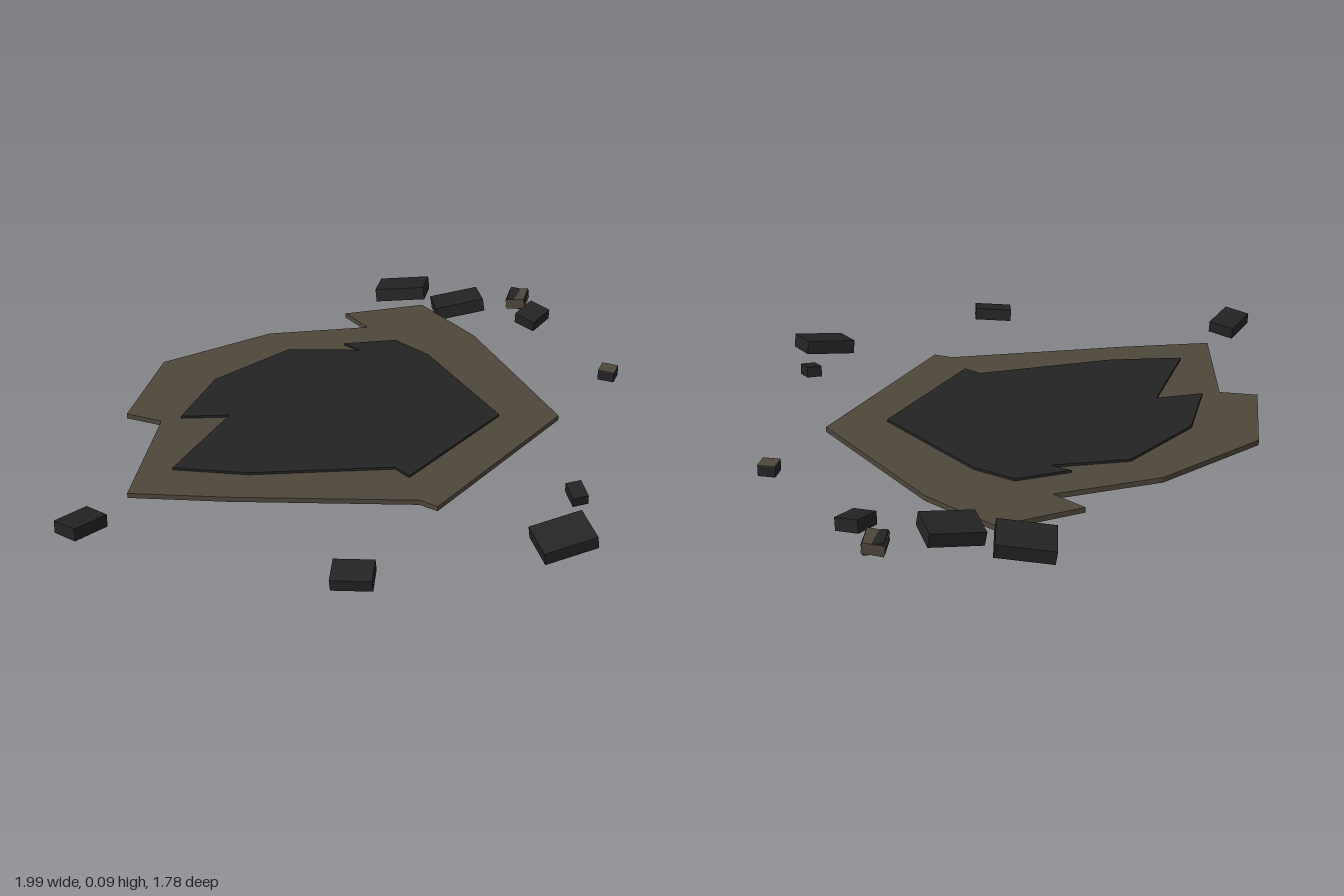
import * as THREE from 'three';

export function createModel() {
  const group = new THREE.Group();
  const brown = new THREE.MeshStandardMaterial({ name: 'brown earth', color: 0x4d463b });
  const dark = new THREE.MeshStandardMaterial({ name: 'charred black', color: 0x232323 });

  // Flat slab from an outline of [x, z] points
  function slab(name, outline, y0, y1, material) {
    const shape = new THREE.Shape(outline.map(([x, z]) => new THREE.Vector2(x, -z)));
    const geo = new THREE.ExtrudeGeometry(shape, { depth: y1 - y0, bevelEnabled: false });
    geo.rotateX(-Math.PI / 2);
    const mesh = new THREE.Mesh(geo, material);
    mesh.name = name;
    mesh.position.y = y0;
    group.add(mesh);
  }

  // Jagged outer ground and scorched centre
  slab('outerSlab', [
    [-0.44, -0.57], [-0.04, -0.64], [0.30, -0.57], [0.26, -0.69], [0.54, -0.66],
    [0.63, -0.39], [0.685, 0.19], [0.12, 0.545], [0.08, 0.495], [-0.47, 0.285],
    [-0.75, 0.165], [-0.545, -0.205], [-0.64, -0.285],
  ], 0.03, 0.047, brown);
  slab('scorchedCentre', [
    [-0.31, -0.39], [-0.015, -0.50], [0.215, -0.415], [0.18, -0.475], [0.355, -0.44],
    [0.425, -0.31], [0.50, 0.13], [0.095, 0.37], [0.07, 0.31], [-0.37, 0.19],
    [-0.585, 0.085], [-0.33, -0.155], [-0.48, -0.20],
  ], 0.04, 0.055, dark);

  // Tilted rubble: centre, size, yaw, then tilt about x and z
  function chunk(name, material, [x, y, z], [w, h, d], yaw, tiltX, tiltZ) {
    const mesh = new THREE.Mesh(new THREE.BoxGeometry(w, h, d), material);
    mesh.name = name;
    mesh.position.set(x, y, z);
    mesh.rotation.set(tiltX, yaw, tiltZ, 'XZY');
    group.add(mesh);
  }

  chunk('backChunk', dark, [0.515, 0.051, -0.79], [0.175, 0.045, 0.125], -0.52, -0.2, 0.05);
  chunk('backSideChunk', dark, [0.66, 0.052, -0.62], [0.17, 0.045, 0.12], -0.19, -0.14, 0.12);
  chunk('sideChunk', dark, [0.875, 0.053, -0.445], [0.095, 0.04, 0.08], 0.55, 0.18, 0.05);
  chunk('smallFrontChunk', dark, [0.545, 0.051, 0.625], [0.05, 0.035, 0.07], -0.08, 0.18, 0.1);
  chunk('frontChunk', dark, [0.41, 0.05, 0.82], [0.17, 0.045, 0.125], -0.03, 0.12, 0.17);
  chunk('frontLeftChunk', dark, [-0.24, 0.05, 0.79], [0.125, 0.04, 0.09], -0.46, 0.1, 0.13);
  chunk('farLeftChunk', dark, [-0.92, 0.05, 0.28], [0.13, 0.04, 0.09], 0.52, -0.15, -0.04);

  // Two stones wedged through each other
  chunk('brownStone', brown, [0.88, 0.051, -0.585], [0.066, 0.034, 0.09], -0.6, -0.1, 0.13);
  chunk('darkStone', dark, [0.88, 0.051, -0.585], [0.065, 0.034, 0.089], -0.6, 0.06, -0.06);

  // Small stone with a brown top
  chunk('smallStone', dark, [0.955, 0.051, 0], [0.055, 0.034, 0.055], -0.72, 0, 0);
  chunk('smallStoneTop', brown, [0.955, 0.069, 0], [0.055, 0.003, 0.055], -0.72, 0, 0);

  return group;
}
